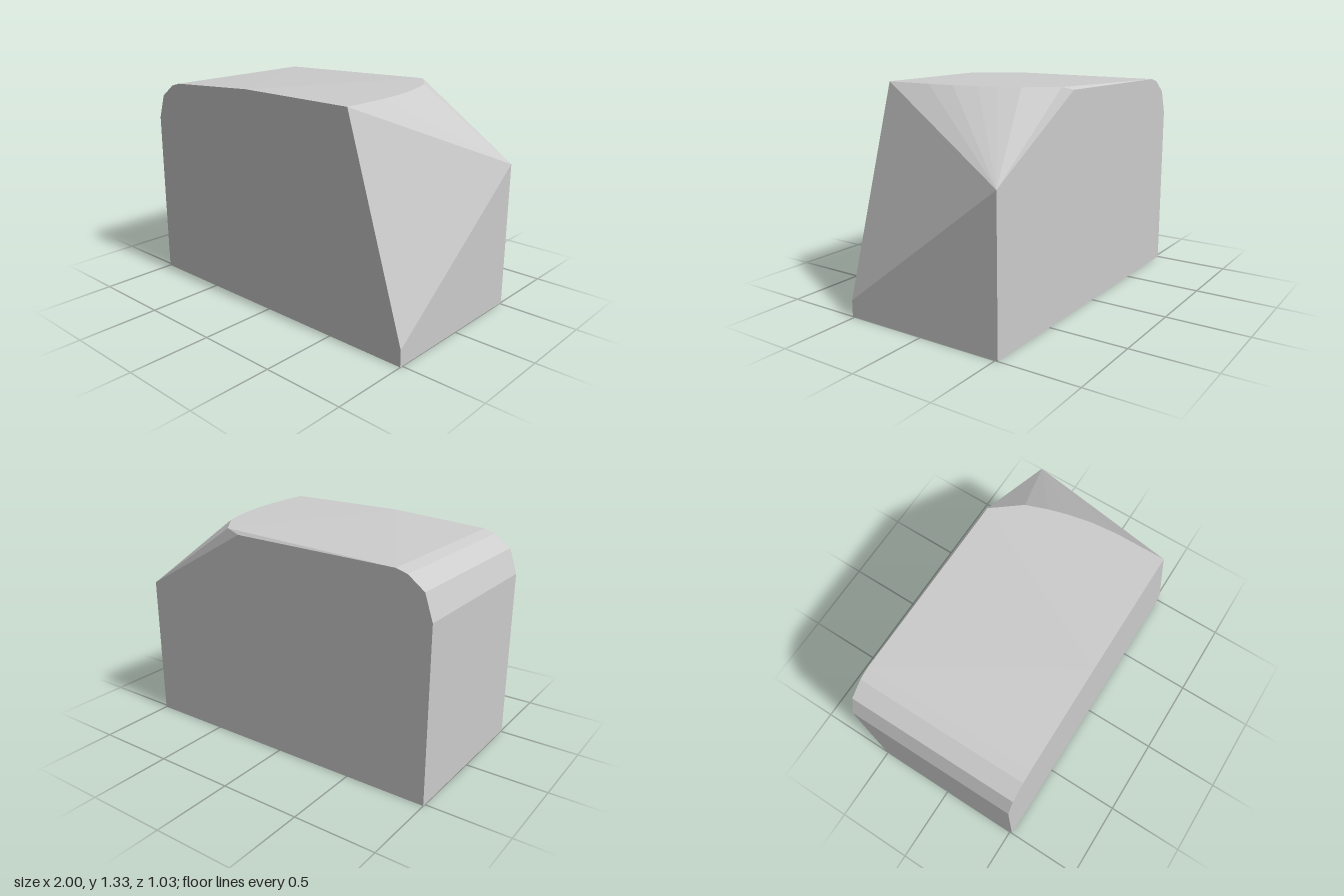
import * as THREE from 'three';
import { ConvexGeometry } from 'three/addons/geometries/ConvexGeometry.js';

export function createModel() {
  const group = new THREE.Group();
  group.name = 'chamferedBlock';
  const grey = new THREE.MeshStandardMaterial({ color: 0xcccccc });
  grey.name = 'lightGrey';

  const D = 0.517, H = 1.333;
  const points = [];
  const add = (x, y, z) => points.push(new THREE.Vector3(x, y, z));

  // Base and rounded shoulder, the same profile at front and back
  const profile = [[1, 0], [-1, 0], [-1, 1.05], [-0.95, 1.2], [-0.85, 1.275], [-0.78, 1.295]];
  for (const [x, y] of profile) for (const z of [D, -D]) add(x, y, z);

  // Flat top, bounded on one side by a curved edge
  add(-0.15, H, D);
  const curve = [[0.618, D], [0.616, 0.22], [0.602, 0.06], [0.572, -0.09], [0.54, -0.2], [0.495, -0.325], [0.36, -0.497]];
  for (const [x, z] of curve) add(x, H, z);

  // Lowered back edge of the top
  add(0.265, 1.311, -D);

  // Slanted end: low front corner, high back corner
  add(1, 0.1, D);
  add(1, 0.893, -D);

  const body = new THREE.Mesh(new ConvexGeometry(points), grey);
  body.name = 'body';
  group.add(body);
  return group;
}
